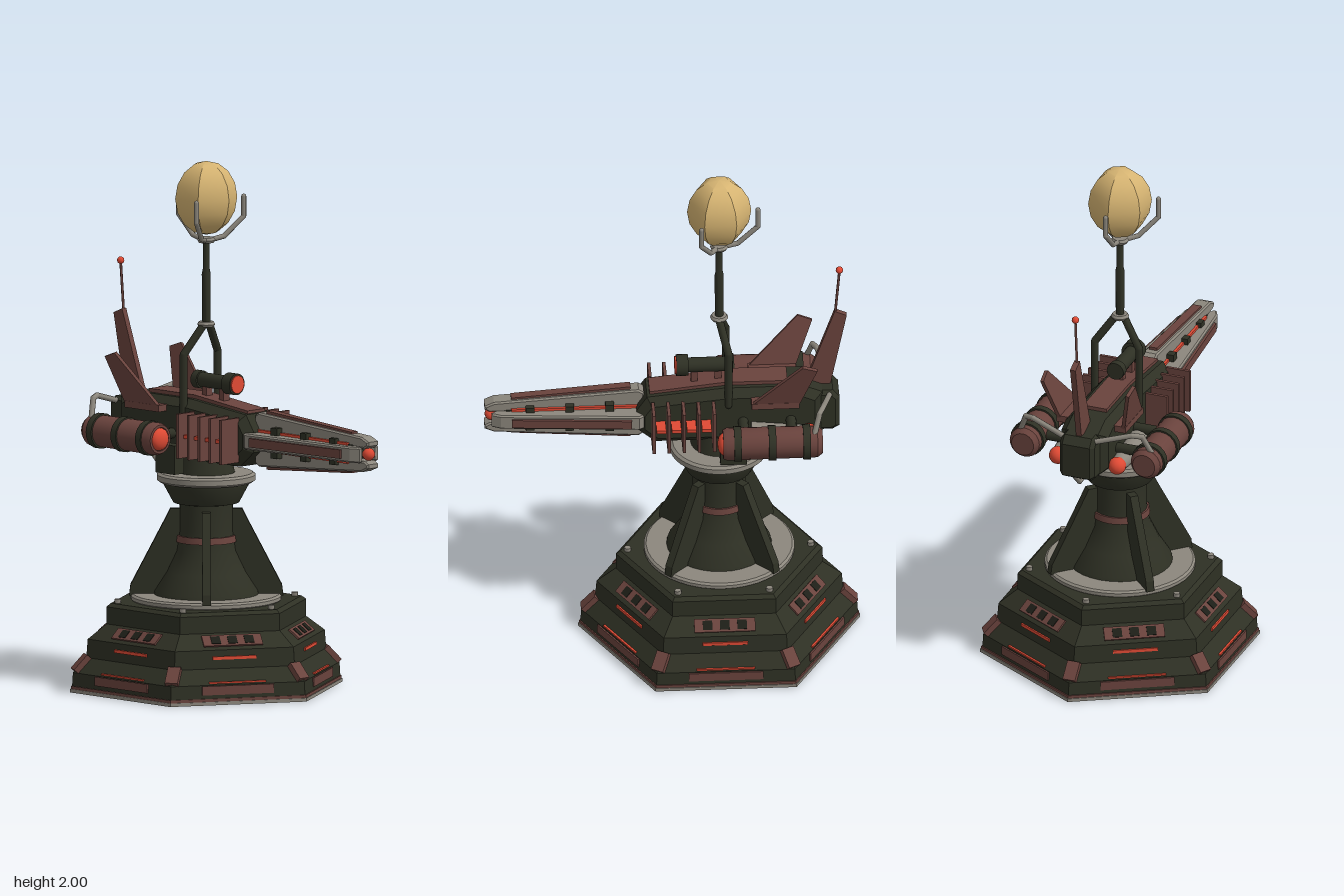
import * as THREE from 'three';
import { toCreasedNormals } from 'three/addons/utils/BufferGeometryUtils.js';

const mat = (name, color) => {
  const m = new THREE.MeshStandardMaterial({ color });
  m.name = name;
  return m;
};

export function createModel() {
  const dark = mat('dark olive', 0x2e3024), brown = mat('rust brown', 0x6a433d);
  const grey = mat('warm grey', 0x8c877d), red = mat('glowing red', 0xe04a34);
  const gold = mat('pale gold', 0xd6b472), black = mat('window black', 0x1d1e17);
  const model = new THREE.Group();
  const CZ = -0.185, AXIS = 0.975; // turret axis in z, barrel axis in y
  const V = (x, y, z) => new THREE.Vector3(x, y, z);

  const add = (parent, name, geo, m, x = 0, y = 0, z = 0) => {
    const mesh = new THREE.Mesh(geo, m);
    mesh.name = name;
    mesh.position.set(x, y, z);
    parent.add(mesh);
    return mesh;
  };
  const group = (name, parent = model, x = 0, y = 0, z = 0) => {
    const g = new THREE.Group();
    g.name = name;
    g.position.set(x, y, z);
    parent.add(g);
    return g;
  };
  const box = (w, h, d) => new THREE.BoxGeometry(w, h, d);
  const lathe = (pts, sides, crease = 0.6) =>
    toCreasedNormals(new THREE.LatheGeometry(pts.map(p => new THREE.Vector2(...p)), sides), crease);
  const rod = (r, l, sides = 20) => new THREE.CylinderGeometry(r, r, l, sides).rotateX(Math.PI / 2);
  // profile in (z, y), extruded across x
  const slab = (pts, width, bevel = 0) => {
    const d = width - 2 * bevel;
    return new THREE.ExtrudeGeometry(new THREE.Shape(pts.map(p => new THREE.Vector2(...p))), {
      depth: d, bevelEnabled: bevel > 0, bevelSize: bevel, bevelThickness: bevel, bevelOffset: -bevel, bevelSegments: 1,
    }).translate(0, 0, -d / 2).rotateY(-Math.PI / 2);
  };
  // straight-jointed pipe through points
  const pipe = (parent, name, pts, r, m) => {
    const path = new THREE.CurvePath();
    for (let i = 1; i < pts.length; i++) path.add(new THREE.LineCurve3(pts[i - 1], pts[i]));
    const g = group(name, parent);
    path.curves.forEach((c, i) => {
      add(g, name + 'Run', new THREE.TubeGeometry(c, 1, r, 8), m);
      add(g, name + 'Joint', new THREE.SphereGeometry(r, 8, 6), m).position.copy(c.v2);
      if (i === 0) add(g, name + 'End', new THREE.SphereGeometry(r, 8, 6), m).position.copy(c.v1);
    });
  };

  // ---- hexagonal base; radii given to the flats
  const base = group('base', model, 0, 0, CZ);
  const hex = pts => lathe(pts.map(([a, y]) => [a / 0.866, y]), 6, 0.1);
  add(base, 'baseBody', hex([[0, 0.001], [0.454, 0.001], [0.45, 0.075], [0.405, 0.13], [0.4, 0.2],
    [0.337, 0.255], [0.337, 0.32], [0.322, 0.333], [0, 0.333]]), dark);
  add(base, 'footTrim', hex([[0.44, 0], [0.46, 0], [0.46, 0.013], [0.44, 0.013]]), grey);
  add(base, 'footStripe', hex([[0.44, 0.013], [0.457, 0.013], [0.457, 0.024], [0.44, 0.024]]), brown);
  for (let k = 0; k < 6; k++) {
    const side = group('baseSide', base);
    side.rotation.y = Math.PI / 6 + k * Math.PI / 3;
    add(side, 'lowerPanel', box(0.28, 0.034, 0.009), brown, 0, 0.055, 0.452);
    add(side, 'lowerGlow', box(0.22, 0.006, 0.008), red, 0, 0.083, 0.446);
    add(side, 'glowStrip', box(0.17, 0.012, 0.009), red, 0, 0.17, 0.403);
    const panel = group('windowPanel', side, 0, 0.229, 0.369);
    panel.rotation.x = -0.853;
    add(panel, 'panelPlate', box(0.23, 0.052, 0.009), brown, 0, 0, 0.001);
    for (const i of [-1, 0, 1]) add(panel, 'window', box(0.036, 0.036, 0.008), black, i * 0.065, 0, 0.004);
    const corner = group('baseCorner', base);
    corner.rotation.y = k * Math.PI / 3;
    const clamp = add(corner, 'cornerClamp', box(0.05, 0.075, 0.025), brown, 0, 0.108, 0.487);
    clamp.rotation.x = -0.75;
    add(corner, 'cornerBolt', new THREE.CylinderGeometry(0.013, 0.013, 0.02, 6), grey, 0, 0.338, 0.345);
  }

  // ---- pedestal
  const pedestal = group('pedestal', model, 0, 0, CZ);
  add(pedestal, 'baseRing', lathe([[0.18, 0.33], [0.275, 0.33], [0.284, 0.337], [0.284, 0.35], [0.275, 0.357], [0.18, 0.357]], 40), grey);
  add(pedestal, 'column', lathe([[0.2, 0.35], [0.195, 0.37], [0.15, 0.44], [0.112, 0.52], [0.1, 0.6], [0.1, 0.7],
    [0.125, 0.705], [0.16, 0.77], [0.16, 0.785], [0, 0.785]], 32), dark);
  add(pedestal, 'columnBand', lathe([[0.1, 0.555], [0.114, 0.555], [0.11, 0.58], [0.1, 0.58]], 32), brown);
  add(pedestal, 'collarRing', lathe([[0.13, 0.782], [0.175, 0.782], [0.186, 0.79], [0.186, 0.81], [0.175, 0.818], [0, 0.818]], 40), grey);
  add(pedestal, 'neck', new THREE.CylinderGeometry(0.09, 0.11, 0.08, 24), dark, 0, 0.85, 0);
  for (let k = 0; k < 4; k++) {
    const fin = add(pedestal, 'buttress', slab([[0.07, 0.35], [0.29, 0.35], [0.285, 0.39], [0.155, 0.64], [0.135, 0.68], [0.07, 0.68]], 0.032), dark);
    fin.rotation.y = Math.PI / 4 + k * Math.PI / 2;
  }

  // ---- gun housing
  const gun = group('gunHousing');
  add(gun, 'housing', slab([[-0.57, 0.9], [-0.42, 0.87], [0.06, 0.87], [0.13, 0.93], [0.13, 1.01], [0.09, 1.07],
    [-0.2, 1.1], [-0.5, 1.1], [-0.57, 1.07]], 0.19, 0.03), dark);
  add(gun, 'rearBlock', slab([[-0.635, 0.91], [-0.61, 0.895], [-0.52, 0.895], [-0.52, 1.07], [-0.61, 1.07], [-0.635, 1.04]], 0.14, 0.015), dark);
  add(gun, 'spinePlate', slab([[0.08, 1.05], [0.08, 1.082], [-0.2, 1.114], [-0.44, 1.114], [-0.44, 1.05]], 0.095), brown);

  // ---- barrel: core, clamps and four tapered rails
  const barrel = group('barrel', model, 0, AXIS, 0);
  add(barrel, 'barrelCore', box(0.068, 0.068, 0.52), dark, 0, 0, 0.36);
  [0.23, 0.38, 0.53].forEach((z, i) => add(barrel, 'barrelClamp', box(0.116 - i * 0.008, 0.116 - i * 0.008, 0.032), dark, 0, 0, z));
  for (const sx of [-1, 1]) for (const sy of [-1, 1])
    add(barrel, 'barrelGlow', box(0.012, 0.012, 0.48), red, sx * 0.034, sy * 0.034, 0.36);
  for (let k = 0; k < 4; k++) {
    const end = k % 2 ? 0.675 : 0.7;
    const arm = group('barrelArm', barrel);
    arm.rotation.z = k * Math.PI / 2;
    add(arm, 'rail', slab([[0.1, 0.03], [end - 0.02, 0.024], [end, 0.035], [end, 0.05], [end - 0.035, 0.066], [0.12, 0.103], [0.1, 0.09]], 0.06, 0.006), grey);
    add(arm, 'railStrip', slab([[0.15, 0.09], [0.6, 0.06], [0.6, 0.078], [0.15, 0.112]], 0.034), brown);
  }
  add(barrel, 'muzzleGlow', new THREE.SphereGeometry(0.024, 16, 12), red, 0, 0, 0.675);
  add(barrel, 'muzzleStem', rod(0.016, 0.08), dark, 0, 0, 0.635);

  // ---- mirrored side equipment
  for (const s of [-1, 1]) {
    const side = group(s > 0 ? 'leftSide' : 'rightSide');
    for (let i = 0; i < 5; i++) {
      const z = 0.07 - i * 0.057;
      add(side, 'coolingPlate', box(0.095, 0.17, 0.012), brown, s * 0.135, AXIS, z);
      if (i) add(side, 'coolingGlow', box(0.07, 0.014, 0.036), red, s * 0.125, 0.972, z + 0.028);
    }
    const pod = group('pod', side, s * 0.245, 0.967, 0);
    add(pod, 'podShell', lathe([[0, -0.56], [0.045, -0.56], [0.06, -0.54], [0.062, -0.2], [0.055, -0.185], [0.045, -0.185], [0.045, -0.2], [0, -0.2]], 20).rotateX(Math.PI / 2), brown);
    for (const z of [-0.24, -0.37, -0.5]) add(pod, 'podBand', rod(0.067, 0.028), dark, 0, 0, z);
    add(pod, 'podGlow', new THREE.SphereGeometry(0.043, 16, 10).scale(1, 1, 0.6), red, 0, 0, -0.19);
    for (const z of [-0.27, -0.45])
      add(side, 'podStrut', new THREE.CylinderGeometry(0.02, 0.02, 0.14, 10).rotateZ(Math.PI / 2), dark, s * 0.14, 0.967, z);
    add(side, 'podBracket', box(0.05, 0.11, 0.1), dark, s * 0.15, 0.88, -0.23);
    // inboard thruster
    add(side, 'thrusterBell', new THREE.CylinderGeometry(0.028, 0.048, 0.22, 16).rotateX(-Math.PI / 2).rotateY(Math.PI).scale(1, 1, 1), grey, s * 0.12, 0.925, -0.41).rotation.y = Math.PI;
    add(side, 'thrusterGlow', new THREE.SphereGeometry(0.034, 14, 10), red, s * 0.12, 0.925, -0.515);
    // tilted tail fin
    const fin = add(side, 'sideFin', slab([[-0.3, 0], [-0.48, 0], [-0.545, 0.18], [-0.49, 0.2]].reverse(), 0.014), brown, s * 0.13, 1.065, 0);
    fin.rotation.z = -s * 0.24;
    add(side, 'finRoot', box(0.07, 0.025, 0.18), brown, s * 0.105, 1.06, -0.39);
    pipe(side, 'podHose', [V(s * 0.05, 1.05, -0.6), V(s * 0.2, 1.09, -0.565), V(s * 0.235, 1.085, -0.55), V(s * 0.265, 1.015, -0.53)], 0.011, grey);
    pipe(side, 'mastLeg', [V(s * 0.09, 1.04, -0.215), V(s * 0.09, 1.27, -0.215), V(s * 0.018, 1.375, CZ)], 0.015, dark);
  }
  pipe(gun, 'underHose', [V(0.05, 0.825, -0.3), V(0.05, 0.805, -0.47), V(0.05, 0.9, -0.57)], 0.01, grey);

  // ---- central tail fin and antenna
  add(gun, 'tailFin', slab([[-0.6, 1.05], [-0.665, 1.375], [-0.62, 1.395], [-0.5, 1.05]], 0.022), brown);
  pipe(gun, 'antenna', [V(0, 1.38, -0.622), V(0, 1.57, -0.638)], 0.005, brown);
  add(gun, 'antennaBead', new THREE.SphereGeometry(0.014, 12, 8), red, 0, 1.575, -0.638);

  // ---- scope
  const scope = group('scope', model, 0, 1.167, 0);
  add(scope, 'scopeTube', rod(0.028, 0.2), dark, 0, 0, -0.13);
  add(scope, 'scopeHood', rod(0.041, 0.045), dark, 0, 0, -0.045);
  add(scope, 'scopeEyepiece', rod(0.034, 0.03), dark, 0, 0, -0.22);
  add(scope, 'scopeLens', rod(0.034, 0.008), red, 0, 0, -0.021);
  for (const z of [-0.09, -0.18]) add(scope, 'scopeMount', box(0.03, 0.08, 0.025), brown, 0, -0.05, z);

  // ---- mast, cradle and gem
  const mast = group('mast', model, 0, 0, CZ);
  const ring = [[0, -0.01], [0.028, -0.01], [0.034, 0], [0.028, 0.01], [0, 0.01]];
  add(mast, 'mastCollar', lathe(ring, 20), grey, 0, 1.38, 0);
  add(mast, 'mastPole', lathe([[0.016, 1.38], [0.017, 1.57], [0.013, 1.59], [0.013, 1.7]], 14), dark);
  add(mast, 'cradleHub', lathe(ring, 20), grey, 0, 1.7, 0);
  for (let k = 0; k < 3; k++) {
    const prong = group('cradleProng', mast);
    prong.rotation.y = Math.PI + k * Math.PI * 2 / 3;
    pipe(prong, 'prong', [V(0, 1.7, 0.02), V(0, 1.712, 0.07), V(0, 1.785, 0.146), V(0, 1.86, 0.146)], 0.01, grey);
  }
  const gemProfile = [];
  for (let i = 0; i <= 8; i++) {
    const a = (i / 8 - 0.5) * Math.PI;
    gemProfile.push([Math.max(0, 0.121 * Math.cos(a)), 1.86 + 0.14 * Math.sin(a)]);
  }
  add(mast, 'gem', lathe(gemProfile, 6, 0.5), gold);
  return model;
}
